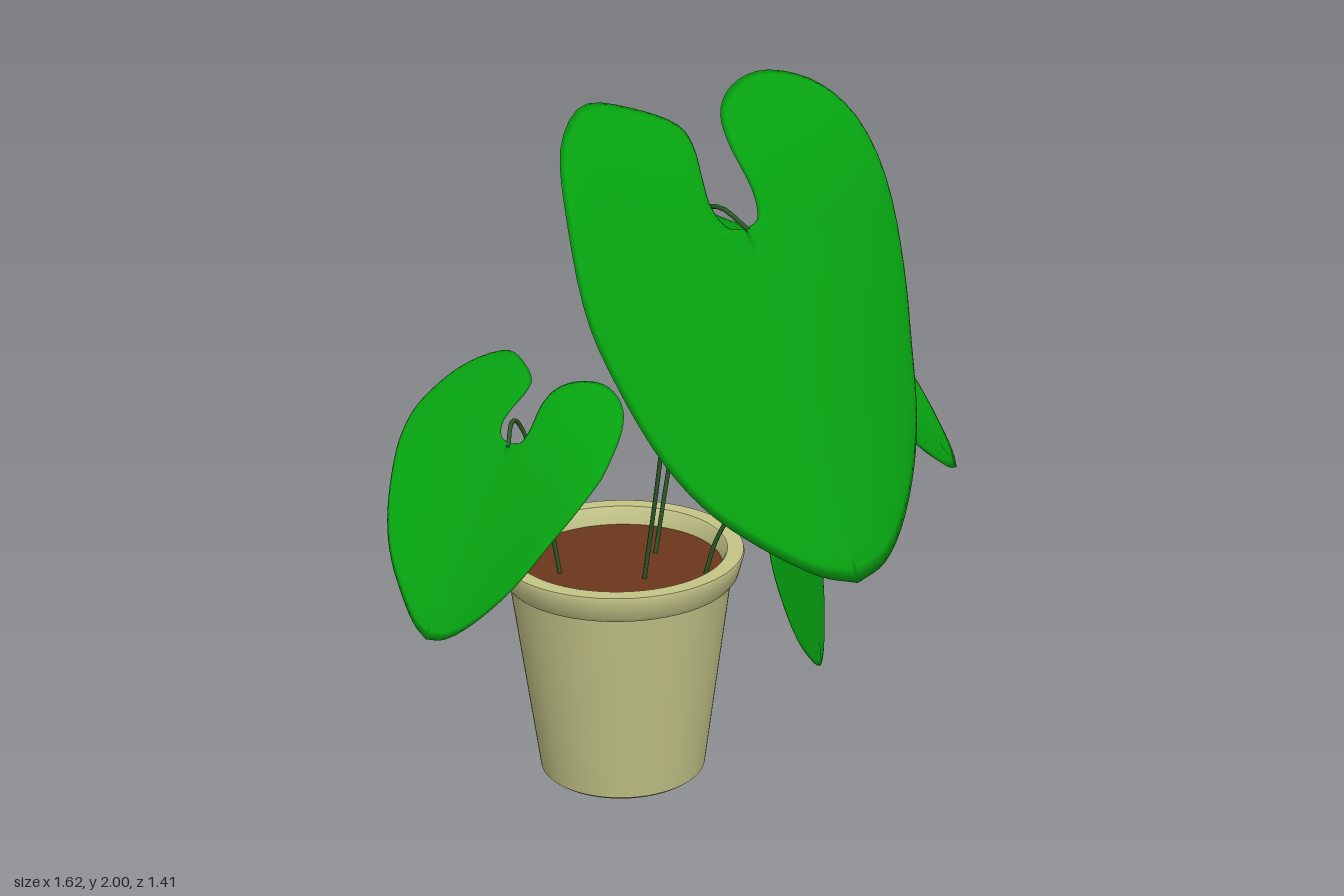
import * as THREE from 'three';
import { mergeVertices, toCreasedNormals } from 'three/addons/utils/BufferGeometryUtils.js';

const material = (color) => new THREE.MeshStandardMaterial({ color });
const leafMaterial = material(0x06a010);
const stemMaterial = material(0x2c5a26);
const potMaterial = material(0xc3c487);
const soilMaterial = material(0x6c361c);
const vec = (p) => new THREE.Vector3(...p);

// Heart outline from notch to tip, (across, along) with the notch at the origin
const leftEdge = [[0, 0], [-.05, .012], [-.073, .06], [-.063, .12], [-.04, .2], [-.045, .25],
  [-.13, .31], [-.26, .345], [-.41, .25], [-.49, .09], [-.52, -.1], [-.495, -.255],
  [-.44, -.425], [-.37, -.54], [-.26, -.645], [-.14, -.725], [-.04, -.758]];
const rightEdge = [[0, 0], [.045, .015], [.062, .07], [.058, .18], [.08, .255], [.15, .313],
  [.26, .335], [.37, .285], [.44, .185], [.475, 0], [.465, -.17], [.44, -.28], [.39, -.44],
  [.32, -.55], [.19, -.67], [.07, -.737], [-.04, -.758]];
const RINGS = [0, 0.25, 0.5, 0.72, 0.88, 0.96, 1];
const MIDRIB = 14;

// Closed loop of one half leaf: smoothed edge down, then the midrib back up
function halfLoop(edge) {
  const curve = new THREE.CatmullRomCurve3(edge.map(([u, v]) => new THREE.Vector3(u, v, 0)));
  const loop = curve.getPoints(60).map((p) => ({ u: p.x, v: p.y, rib: false }));
  for (let i = MIDRIB - 1; i > 0; i--) {
    const k = i / MIDRIB;
    loop.push({ u: -0.04 * k, v: -0.758 * k, rib: true });
  }
  return loop;
}

// Thin rounded heart leaf, spanned by an across and an along vector,
// narrowed to the tip by pinch, then bent by curl and twist
function leafGeometry({ notch, across, along, pinch, curl, twist }) {
  const origin = vec(notch), A = vec(across), V = vec(along);
  const N = A.clone().cross(V).normalize().multiplyScalar(A.length());
  const positions = [], index = [];
  for (const half of [-1, 1]) {
    const loop = halfLoop(half < 0 ? leftEdge : rightEdge);
    const n = loop.length;
    for (const side of [1, -1]) {
      const start = positions.length / 3;
      for (const t of RINGS) {
        for (const { u: bu, v: bv, rib } of loop) {
          const v = THREE.MathUtils.lerp(-0.02, bv, t);
          const u = THREE.MathUtils.lerp(half * 0.25, bu, t) * (1 + pinch * Math.min(v, 0));
          const thickness = 0.012 * (rib ? 1 : Math.sqrt(1 - t ** 8));
          const lobe = Math.max(v, 0);
          const w = -0.8 * lobe * lobe + curl * u * u * v + twist * u * v + side * thickness;
          const p = origin.clone().addScaledVector(A, u).addScaledVector(V, v).addScaledVector(N, w);
          positions.push(p.x, p.y, p.z);
        }
      }
      for (let r = 0; r < RINGS.length - 1; r++) {
        for (let i = 0; i < n; i++) {
          const j = (i + 1) % n;
          const a = start + r * n + i, b = start + r * n + j, c = a + n, d = b + n;
          if (half * side < 0) index.push(a, c, d, a, d, b);
          else index.push(a, d, c, a, b, d);
        }
      }
    }
  }
  const geometry = new THREE.BufferGeometry();
  geometry.setAttribute('position', new THREE.Float32BufferAttribute(positions, 3));
  geometry.setIndex(index);
  const merged = mergeVertices(geometry, 1e-5);
  merged.computeVertexNormals();
  return merged;
}

const leaves = [
  { name: 'largeFront', notch: [-.09, 1.7, .205], across: [1, 0, -.03], along: [0, 1, -.66],
    pinch: 0, curl: 0.7, twist: 0.22,
    stem: [[-.09, .58, -.25], [-.09, .95, -.17], [-.09, 1.5, -.07], [-.09, 1.65, -.03],
      [-.09, 1.715, .04], [-.09, 1.73, .11], [-.09, 1.7, .22]] },
  { name: 'left', notch: [.355, 1.36, -.255], across: [.45, 0, -.63], along: [-.565, .715, -.37],
    pinch: 0.45, curl: -1, twist: -0.25,
    stem: [[.03, .58, -.37], [.1, 1, -.35], [.15, 1.23, -.335], [.2, 1.33, -.32],
      [.27, 1.38, -.3], [.365, 1.355, -.25]] },
  { name: 'right', notch: [-.46, 1.06, -.315], across: [.22, -.06, .58], along: [.44, .56, -.17],
    pinch: 0.35, curl: -1.2, twist: 0,
    stem: [[-.25, .58, -.41], [-.3, .85, -.41], [-.34, 1, -.415], [-.375, 1.07, -.41],
      [-.42, 1.09, -.37], [-.47, 1.05, -.31]] },
  { name: 'smallFront', notch: [.18, .82, .06], across: [.4, 0, -.33], along: [-.075, .556, -.08],
    pinch: 0.35, curl: 0.1, twist: 0,
    stem: [[.06, .58, -.18], [.08, .72, -.14], [.115, .83, -.08], [.145, .86, -.02], [.185, .815, .065]] },
];

// Pot with stepped rim, centre-axis profile from the base up and into the mouth
function pot() {
  const profile = [[0, 0], [.22, 0], [.23, .008], [.305, .575], [.316, .578], [.325, .59],
    [.34, .645], [.338, .655], [.294, .655], [.288, .648], [.277, .58]];
  const lathe = new THREE.LatheGeometry(profile.map(([r, y]) => new THREE.Vector2(r, y)), 64);
  const group = new THREE.Group();
  group.name = 'pot';
  const body = new THREE.Mesh(toCreasedNormals(lathe, 0.6), potMaterial);
  body.name = 'potBody';
  const soil = new THREE.Mesh(new THREE.CylinderGeometry(.281, .278, .02, 64), soilMaterial);
  soil.name = 'soil';
  soil.position.y = 0.595;
  group.add(body, soil);
  group.position.set(-.09, 0, -.36);
  return group;
}

export function createModel() {
  const model = new THREE.Group();
  model.name = 'pottedPlant';
  model.add(pot());
  for (const spec of leaves) {
    const leaf = new THREE.Mesh(leafGeometry(spec), leafMaterial);
    leaf.name = spec.name + 'Leaf';
    const path = new THREE.CatmullRomCurve3(spec.stem.map(vec));
    const stem = new THREE.Mesh(new THREE.TubeGeometry(path, 40, 0.006, 8), stemMaterial);
    stem.name = spec.name + 'Stem';
    model.add(leaf, stem);
  }
  return model;
}
